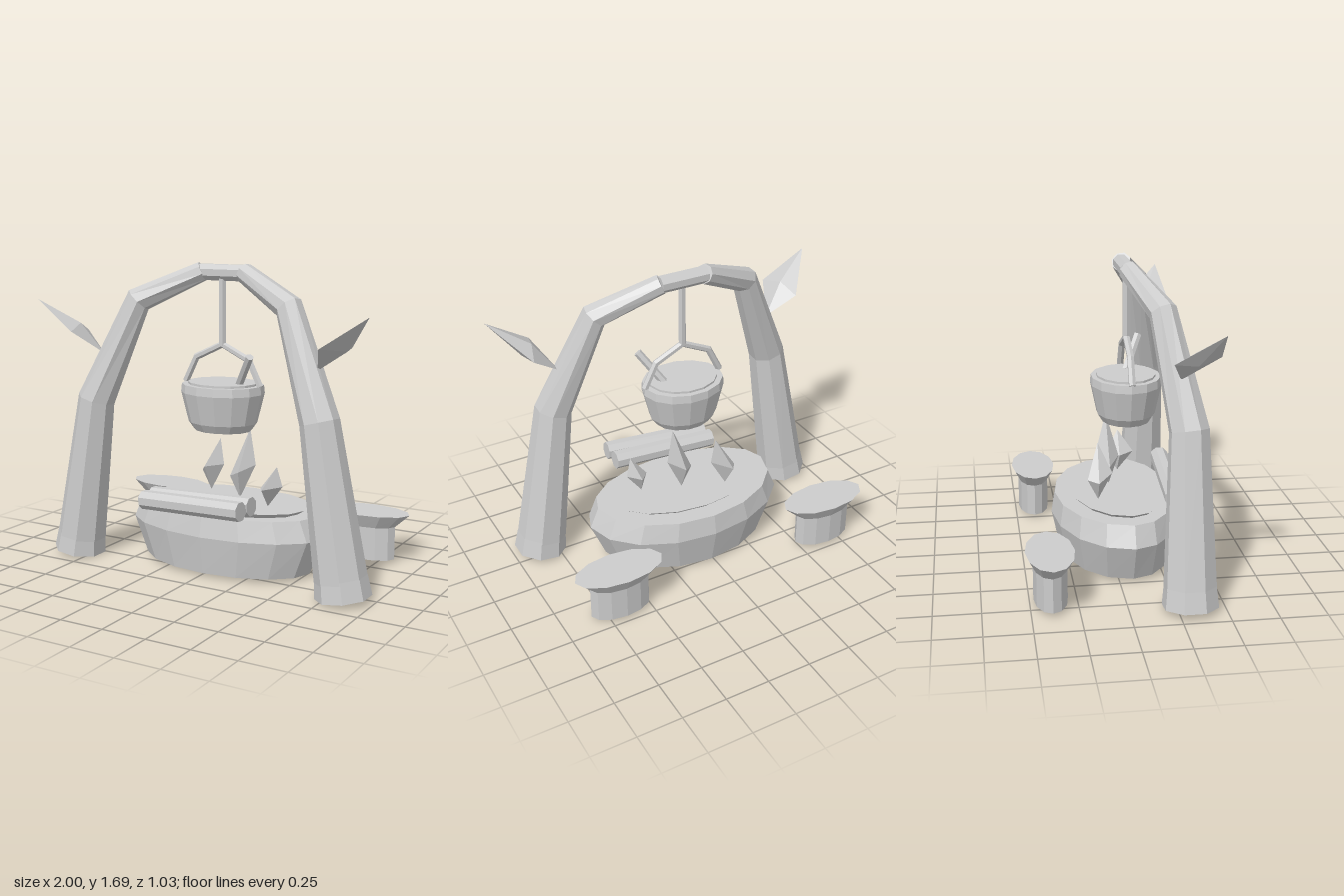
import * as THREE from 'three';

const stone = new THREE.MeshStandardMaterial({ color: 0xcccccc, side: THREE.DoubleSide });
stone.name = 'plain grey';

const V = (p) => new THREE.Vector3(...p);

// Faceted mesh from indexed corners
function facetMesh(name, positions, index) {
  let g = new THREE.BufferGeometry();
  g.setAttribute('position', new THREE.Float32BufferAttribute(positions, 3));
  g.setIndex(index);
  g = g.toNonIndexed();
  g.computeVertexNormals();
  const mesh = new THREE.Mesh(g, stone);
  mesh.name = name;
  return mesh;
}

// Skin a list of rings (arrays of Vector3, counter-clockwise about the path direction)
function skin(name, rings, capStart, capEnd) {
  const n = rings[0].length, pos = [], idx = [];
  rings.forEach((ring) => ring.forEach((p) => pos.push(p.x, p.y, p.z)));
  for (let r = 0; r < rings.length - 1; r++) {
    for (let i = 0; i < n; i++) {
      const a = r * n + i, b = r * n + (i + 1) % n;
      idx.push(a, b, b + n, a, b + n, a + n);
    }
  }
  const last = (rings.length - 1) * n;
  for (let i = 1; i < n - 1; i++) {
    if (capStart) idx.push(0, i + 1, i);
    if (capEnd) idx.push(last, last + i, last + i + 1);
  }
  return facetMesh(name, pos, idx);
}

// Tapered bar through a path, one radius per point
function bar(name, path, radii, sides = 8, caps = true) {
  const pts = path.map(V);
  const rings = pts.map((p, k) => {
    const t = new THREE.Vector3();
    if (k > 0) t.add(p.clone().sub(pts[k - 1]).normalize());
    if (k < pts.length - 1) t.add(pts[k + 1].clone().sub(p).normalize());
    t.normalize();
    const u = new THREE.Vector3(0, 0, 1);
    u.addScaledVector(t, -u.dot(t)).normalize();
    const v = t.clone().cross(u);
    return Array.from({ length: sides }, (_, i) => {
      const a = ((i + 0.5) / sides) * Math.PI * 2;
      return p.clone()
        .addScaledVector(u, Math.cos(a) * radii[k])
        .addScaledVector(v, Math.sin(a) * radii[k]);
    });
  });
  return skin(name, rings, caps, caps);
}

// Oval vessel: levels are [y, rx, rzBack, rzFront]
function vessel(name, cx, cz, levels, sides, capBottom, capTop) {
  const rings = levels.map(([y, rx, rb, rf]) => Array.from({ length: sides }, (_, i) => {
    const a = (i / sides) * Math.PI * 2, s = -Math.sin(a);
    return new THREE.Vector3(cx + rx * Math.cos(a), y, cz + s * (s < 0 ? rb : rf));
  }));
  return skin(name, rings, capBottom, capTop);
}

// Six-cornered pointed blade: tip, base and a belt of four corners
function blade(name, tip, base, belt) {
  const idx = [];
  for (let i = 0; i < 4; i++) {
    const a = 2 + i, b = 2 + (i + 1) % 4;
    idx.push(0, a, b, 1, b, a);
  }
  const mid = V(tip).add(V(base)).multiplyScalar(0.5);
  const n = V(belt[0]).sub(V(tip)).cross(V(belt[1]).sub(V(tip)));
  if (n.dot(V(tip).sub(mid)) < 0) {
    for (let i = 0; i < idx.length; i += 3) [idx[i + 1], idx[i + 2]] = [idx[i + 2], idx[i + 1]];
  }
  return facetMesh(name, [tip, base, ...belt].flat(), idx);
}

export function createModel() {
  const model = new THREE.Group();
  model.name = 'campfireCookingArch';

  // Mirrored arch legs, foot sleeves, leaves and stools
  for (const s of [-1, 1]) {
    const side = s > 0 ? 'left' : 'right';
    const m = (p) => [s * p[0], p[1], p[2]];
    model.add(
      bar(side + 'ArchLeg',
        [[0.825, 0.09, 0.315], [0.695, 0.9, 0.32], [0.465, 1.46, 0.22], [0.13, 1.62, 0.09]].map(m),
        [0.14, 0.105, 0.075, 0.055]),
      bar(side + 'FootSleeve', [[0.84, 0, 0.315], [0.825, 0.11, 0.315]].map(m), [0.15, 0.138], 8, false),
      blade(side + 'Leaf', m([1, 1.455, 0.43]), m([0.66, 1.155, 0.28]),
        [[0.75, 1.29, 0.465], [0.785, 1.325, 0.33], [0.82, 1.275, 0.215], [0.845, 1.27, 0.33]].map(m)),
      vessel(side + 'Stool', s * 0.663, -0.39, [
        [0, 0.175, 0.09, 0.09], [0.19, 0.175, 0.09, 0.09], [0.267, 0.258, 0.13, 0.13],
      ], 12, false, true),
    );
  }
  model.add(bar('archCrown', [[-0.14, 1.617, 0.09], [0.14, 1.617, 0.09]], [0.047, 0.047]));

  // Fire pit and the ash plate set into its rim
  model.add(
    vessel('firePit', 0.02, 0.075, [
      [0, 0.51, 0.355, 0.28], [0.21, 0.596, 0.4, 0.31],
      [0.325, 0.545, 0.38, 0.29],
    ], 16, false, true),
    vessel('ashPlate', 0.02, 0.075, [
      [0.32, 0.43, 0.27, 0.22], [0.35, 0.475, 0.3, 0.25],
    ], 16, false, true),
  );

  // Logs
  [[0.325, 0.35], [0.42, 0.465]].forEach(([z0, z1], i) => model.add(
    bar('log' + (i + 1), [[-0.315, 0.387, z0], [0.32, 0.415, z1]], [0.053, 0.053])));

  // Flames
  const flames = [
    [[-0.115, 0.66, -0.075], [-0.18, 0.35, -0.08],
      [[-0.18, 0.5, 0.0], [-0.24, 0.46, -0.08], [-0.2, 0.47, -0.14], [-0.09, 0.51, -0.07]]],
    [[0.12, 0.755, 0], [0.06, 0.35, 0.01],
      [[0.08, 0.51, 0.07], [-0.005, 0.47, 0.01], [0.07, 0.51, -0.07], [0.155, 0.55, 0]]],
    [[0.34, 0.58, 0.1], [0.28, 0.35, 0.09],
      [[0.29, 0.46, 0.185], [0.24, 0.45, 0.1], [0.3, 0.46, 0.03], [0.37, 0.47, 0.09]]],
  ];
  flames.forEach((f, i) => model.add(blade('flame' + (i + 1), ...f)));

  // Cooking pot with its broth surface
  const potLevel = (y, r) => [y, r, r * 0.83, r * 0.83];
  model.add(
    vessel('pot', 0, 0.098, [
      potLevel(0.755, 0.165), potLevel(0.8, 0.198), potLevel(0.965, 0.24), potLevel(1.01, 0.235),
    ], 14, true, true),
    vessel('broth', 0, 0.098, [potLevel(1.005, 0.2), potLevel(1.022, 0.2)], 14, false, true),
  );

  // Hanging rod, handle and ladle
  model.add(
    bar('hangingRod', [[0, 1.6, 0.1], [0, 1.22, 0.1]], [0.022, 0.022], 6),
    bar('potHandle',
      [[-0.235, 1.01, 0.1], [-0.165, 1.15, 0.1], [0, 1.228, 0.1], [0.165, 1.15, 0.1], [0.235, 1.01, 0.1]],
      [0.02, 0.02, 0.02, 0.02, 0.02], 6),
    bar('ladle', [[0.11, 1.01, 0.115], [0.225, 1.185, 0.2]], [0.023, 0.023], 6),
  );
  return model;
}
